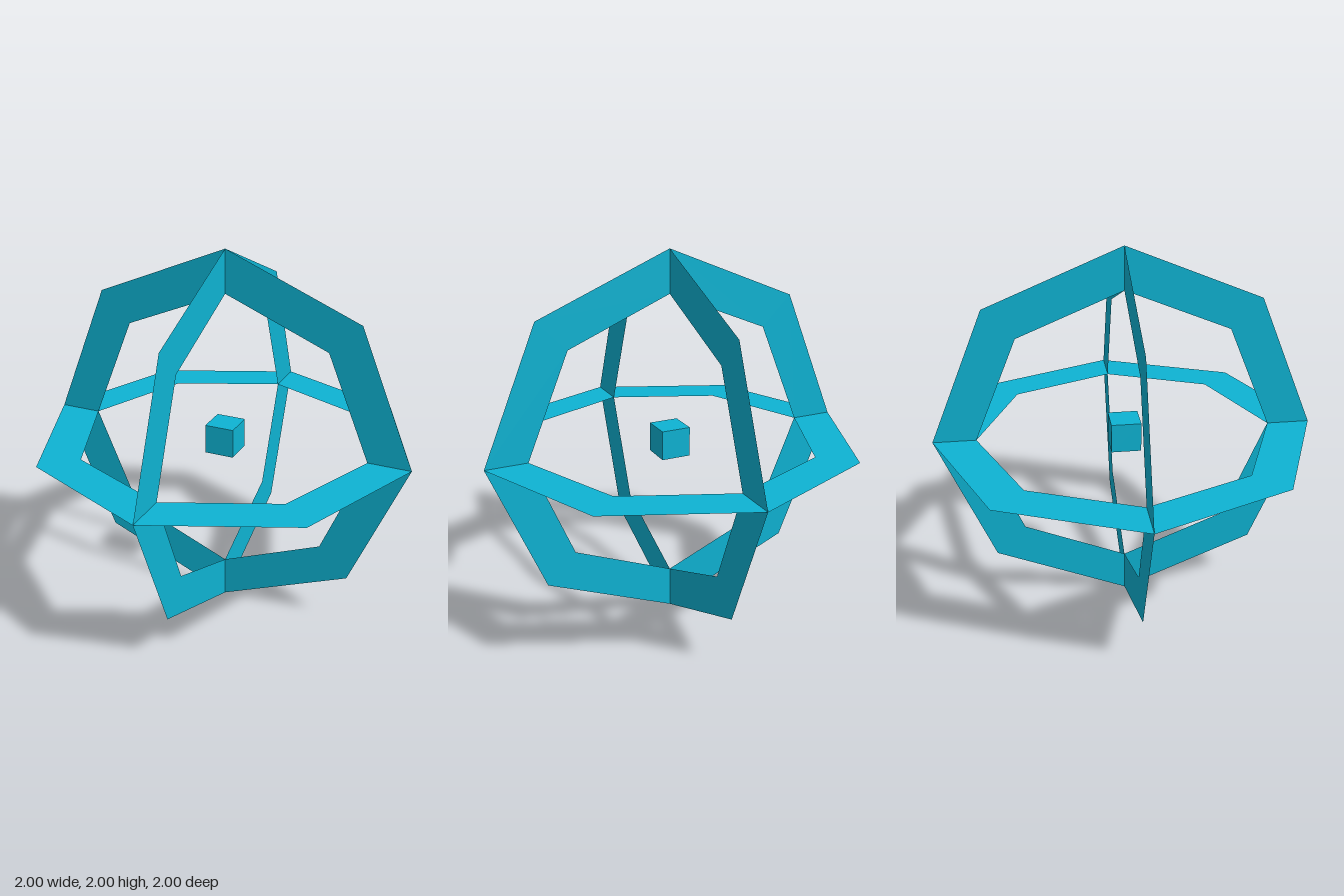
import * as THREE from 'three';

export function createModel() {
  const model = new THREE.Group();
  model.name = 'octagonRingSphere';
  const material = new THREE.MeshStandardMaterial({
    color: 0x0eb3d3, flatShading: true, side: THREE.DoubleSide,
  });

  // Three paper-thin octagonal rings, one in each main plane
  const ringGeometry = new THREE.RingGeometry(0.775, 1, 8, 1);
  const addRing = (name, rx, ry) => {
    const ring = new THREE.Mesh(ringGeometry, material);
    ring.name = name;
    ring.rotation.set(rx, ry, 0);
    ring.position.y = 1;
    model.add(ring);
  };
  addRing('frontRing', 0, 0);
  addRing('sideRing', 0, Math.PI / 2);
  addRing('horizontalRing', -Math.PI / 2, 0);

  // Small cube floating at the centre
  const core = new THREE.Mesh(new THREE.BoxGeometry(0.157, 0.157, 0.157), material);
  core.name = 'centreCube';
  core.position.y = 1;
  model.add(core);

  return model;
}
